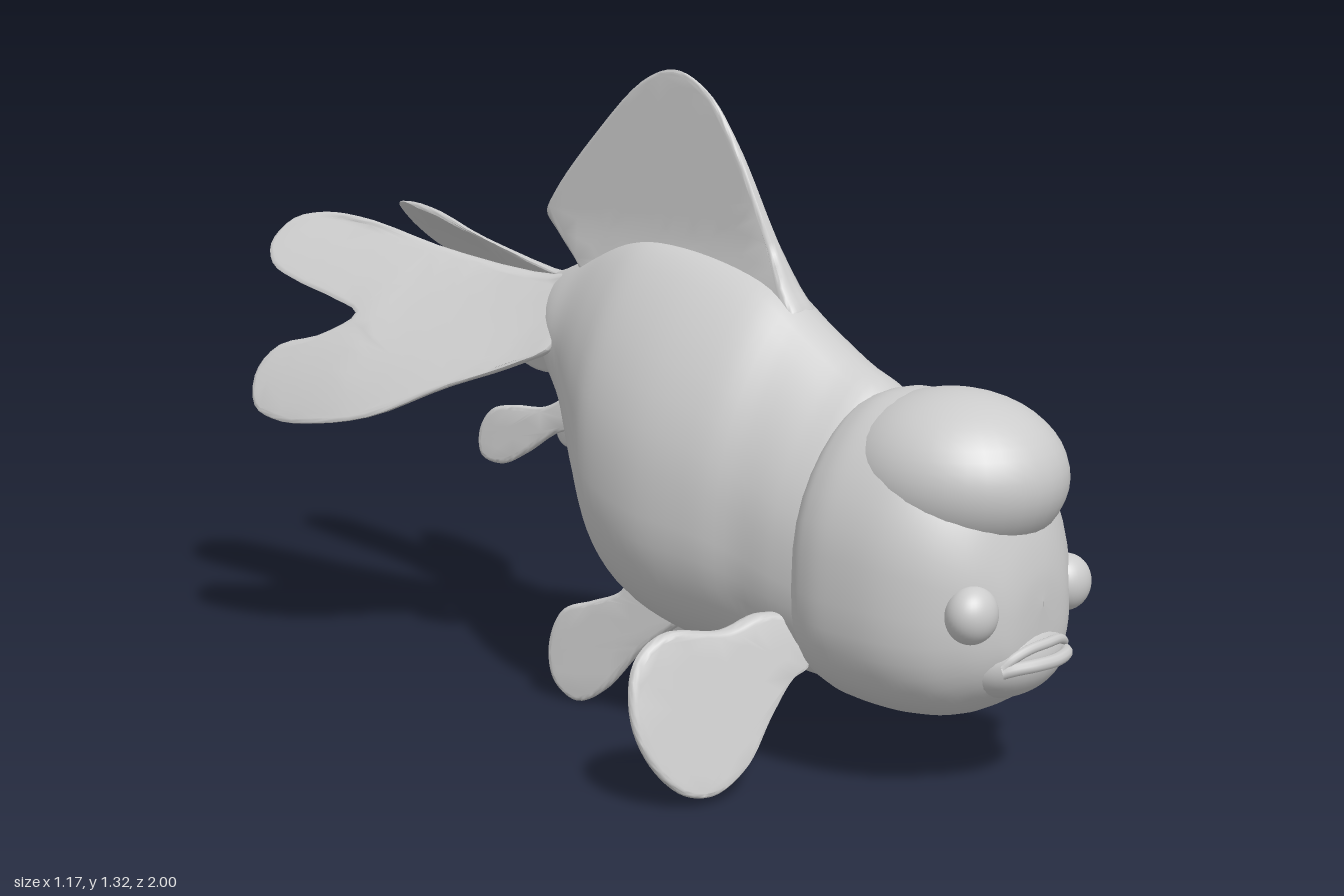
import * as THREE from 'three';
import { toCreasedNormals } from 'three/addons/utils/BufferGeometryUtils.js';

const material = new THREE.MeshStandardMaterial({ color: 0xcccccc, side: THREE.DoubleSide });

function mesh(name, geometry) {
  const m = new THREE.Mesh(geometry, material);
  m.name = name;
  return m;
}

// Signed power, for rounded-box cross-sections
const spow = (v, p) => Math.sign(v) * Math.abs(v) ** p;

// Skin through stations [z, top, bottom, halfWidth], running front to back
function loft(stations, { mid, power, pinch }, rings = 48, sides = 40) {
  const heights = new THREE.CatmullRomCurve3(
    stations.map(([z, t, b]) => new THREE.Vector3(z, t, b)), false, 'catmullrom');
  const widths = new THREE.CatmullRomCurve3(
    stations.map((s) => new THREE.Vector3(s[3], 0, 0)), false, 'catmullrom');
  const pos = [], index = [];
  for (let i = 0; i <= rings; i++) {
    const { x: z, y: top, z: bottom } = heights.getPoint(i / rings);
    const w = Math.max(widths.getPoint(i / rings).x, 0.001);
    const m = bottom + mid * (top - bottom);
    for (let j = 0; j < sides; j++) {
      const a = (j / sides) * Math.PI * 2, s = Math.sin(a);
      const x = w * spow(Math.cos(a), power) * (1 - pinch * Math.max(0, s) ** 2);
      const y = m + spow(s, power) * (s > 0 ? top - m : m - bottom);
      pos.push(x, y, z);
      if (i === rings) continue;
      const p = i * sides + j, q = i * sides + ((j + 1) % sides);
      index.push(p, p + sides, q, q, p + sides, q + sides);
    }
  }
  const g = new THREE.BufferGeometry();
  g.setAttribute('position', new THREE.Float32BufferAttribute(pos, 3));
  g.setIndex(index);
  g.computeVertexNormals();
  return g;
}

// Halve a triangle at its longest edge until small enough to bend smoothly
function split(a, b, c, out) {
  const ab = a.distanceTo(b), bc = b.distanceTo(c), ca = c.distanceTo(a);
  const longest = Math.max(ab, bc, ca);
  if (longest < 0.07) out.push(a, b, c);
  else if (longest === bc) split(b, c, a, out);
  else if (longest === ca) split(c, a, b, out);
  else {
    const m = a.clone().lerp(b, 0.5);
    split(a, m, c, out);
    split(m, b, c, out);
  }
}

// Thin rounded plate from an outline, each vertex placed by map(u, v, t)
function fin(outline, thickness, map) {
  const curve = new THREE.CatmullRomCurve3(
    outline.map(([u, v]) => new THREE.Vector3(u, v, 0)), true, 'centripetal');
  const shape = new THREE.Shape(curve.getPoints(72).slice(0, -1).map((p) => new THREE.Vector2(p.x, p.y)));
  const bevel = thickness * 0.4, depth = thickness - 2 * bevel;
  const p = new THREE.ExtrudeGeometry(shape, {
    depth, bevelThickness: bevel, bevelSize: 0.01, bevelOffset: -0.01, bevelSegments: 3, steps: 1,
  }).attributes.position;
  const corner = (i) => new THREE.Vector3().fromBufferAttribute(p, i);
  const points = [];
  for (let i = 0; i < p.count; i += 3) split(corner(i), corner(i + 1), corner(i + 2), points);
  const g = new THREE.BufferGeometry();
  g.setAttribute('position', new THREE.Float32BufferAttribute(
    points.flatMap(({ x, y, z }) => map(x, y, z - depth / 2)), 3));
  return toCreasedNormals(g, 0.7);
}

// Fin drawn in side view as [z, y]; xAt gives its sideways lean, swell its relative thickness
function sideFin(outline, thickness, xAt, swell = () => 1) {
  return fin(outline.map(([z, y]) => [-z, y]), thickness,
    (u, v, t) => [xAt(-u, v) + t * swell(-u, v), v, -u]);
}

function ellipsoid(center, radii) {
  return new THREE.SphereGeometry(1, 36, 24).scale(...radii).translate(...center);
}

// Lip tube, given as the left half from the middle to the corner
function lip(half, radius) {
  const points = [...half.slice(1).reverse().map(([x, y, z]) => [-x, y, z]), ...half];
  const curve = new THREE.CatmullRomCurve3(points.map((p) => new THREE.Vector3(...p)));
  return new THREE.TubeGeometry(curve, 28, radius, 10);
}

// Sideways sweep of a tail half: bowed outwards, lower edge furthest out
function tailX(z, y) {
  const drop = Math.max(0, 0.87 + 0.15 * (-0.32 - z) - y);
  const bow = Math.min(1, Math.max(0, (-0.3 - z) / 0.35));
  return 0.022 + 0.17 * (-0.32 - z) + 0.73 * drop + bow * drop * (0.42 - drop);
}

// Parts of the left side, mirrored for the right
function sideParts(name) {
  const g = new THREE.Group();
  g.name = name;

  g.add(mesh('eye', ellipsoid([0.154, 0.382, 0.902], [0.056, 0.056, 0.048])));
  const lid = new THREE.TorusGeometry(0.053, 0.009, 8, 28);
  lid.rotateY(0.7).translate(0.147, 0.382, 0.894);
  g.add(mesh('eyelid', lid));

  g.add(mesh('pectoralFin', fin([
    [0.2, 0.31], [0.27, 0.33], [0.36, 0.312], [0.48, 0.325], [0.555, 0.28], [0.585, 0.18], [0.563, 0.09],
    [0.51, 0.03], [0.45, 0.02], [0.37, 0.06], [0.3, 0.14], [0.24, 0.2], [0.2, 0.22],
  ], 0.026, (x, y, t) => [x, y, 0.55 - 0.28 * (x - 0.22) - 0.28 * (y - 0.17) + t * (2.1 - 2.4 * x)])));

  g.add(mesh('ventralFin', sideFin([
    [0.16, 0.22], [0.12, 0.188], [0.05, 0.13], [-0.03, 0.035], [-0.09, 0.003], [-0.14, 0.04], [-0.152, 0.12],
    [-0.12, 0.2], [-0.06, 0.225], [0, 0.25], [0.05, 0.3],
  ], 0.022, (z) => 0.1 + 0.33 * (0.13 - z), (z) => 1 + 4 * Math.max(0, z))));

  g.add(mesh('analFin', sideFin([
    [-0.16, 0.57], [-0.25, 0.54], [-0.32, 0.49], [-0.38, 0.46], [-0.425, 0.475], [-0.43, 0.53],
    [-0.4, 0.58], [-0.35, 0.592], [-0.28, 0.595], [-0.2, 0.63],
  ], 0.02, (z) => 0.045 + 0.3 * (-0.18 - z))));

  // Forked tail half, thicker at the root
  g.add(mesh('tailFin', sideFin([
    [-0.22, 0.88], [-0.32, 0.872], [-0.6, 0.91], [-0.8, 0.955], [-0.92, 0.962], [-0.985, 0.945],
    [-0.997, 0.9], [-0.96, 0.855], [-0.88, 0.825], [-0.76, 0.795], [-0.692, 0.77], [-0.75, 0.725],
    [-0.84, 0.695], [-0.868, 0.64], [-0.845, 0.57], [-0.78, 0.545], [-0.68, 0.548], [-0.55, 0.575],
    [-0.42, 0.64], [-0.3, 0.69], [-0.22, 0.74],
  ], 0.018, tailX, (z) => 1 + 4 * Math.max(0, z + 0.6))));
  return g;
}

export function createModel() {
  const model = new THREE.Group();
  model.name = 'goldfish';

  // Deep egg-shaped body tapering to the tail
  model.add(mesh('body', loft([
    [0.68, 0.6, 0.25, 0.18], [0.6, 0.735, 0.16, 0.238], [0.5, 0.79, 0.155, 0.248], [0.4, 0.855, 0.163, 0.248],
    [0.3, 0.92, 0.17, 0.267], [0.15, 0.96, 0.18, 0.28], [0, 0.975, 0.24, 0.25], [-0.1, 0.96, 0.37, 0.19],
    [-0.2, 0.92, 0.545, 0.122], [-0.27, 0.89, 0.645, 0.09], [-0.32, 0.865, 0.7, 0.05], [-0.345, 0.8, 0.78, 0.001],
  ], { mid: 0.38, power: 0.9, pinch: 0.4 })));

  // Broad head easing into the body behind the gills
  model.add(mesh('head', loft([
    [0.956, 0.385, 0.375, 0.001], [0.95, 0.45, 0.27, 0.08], [0.93, 0.53, 0.225, 0.128], [0.89, 0.625, 0.185, 0.182],
    [0.83, 0.695, 0.15, 0.23], [0.75, 0.74, 0.135, 0.262], [0.65, 0.752, 0.137, 0.272],
    [0.59, 0.742, 0.148, 0.266], [0.545, 0.71, 0.17, 0.245], [0.48, 0.6, 0.25, 0.18],
  ], { mid: 0.4, power: 0.8, pinch: 0.25 })));

  model.add(mesh('hood', ellipsoid([0, 0.602, 0.745], [0.208, 0.162, 0.225])));
  model.add(mesh('muzzle', ellipsoid([0, 0.275, 0.865], [0.15, 0.09, 0.105])));

  // Downturned mouth
  model.add(mesh('upperLip', lip([
    [0, 0.306, 0.966], [0.05, 0.302, 0.959], [0.085, 0.288, 0.947], [0.1, 0.272, 0.936],
  ], 0.01)));
  model.add(mesh('lowerLip', lip([
    [0, 0.276, 0.985], [0.05, 0.275, 0.975], [0.085, 0.27, 0.952], [0.1, 0.264, 0.936],
  ], 0.013)));

  // Tall sail fin, flared at the base and thin at the top
  model.add(mesh('dorsalFin', sideFin([
    [0.38, 0.85], [0.34, 0.92], [0.28, 1.03], [0.2, 1.18], [0.12, 1.285], [0.03, 1.327], [-0.06, 1.3],
    [-0.2, 1.175], [-0.31, 1.05], [-0.332, 1.005], [-0.29, 0.96], [-0.24, 0.915], [-0.18, 0.86], [0.1, 0.85],
  ], 0.034, () => 0, (z, y) => 1.2 - 2.3 * (y - 0.9) + 8 * Math.max(0, 0.99 - y))));

  const left = sideParts('leftSide');
  const right = sideParts('rightSide');
  right.scale.x = -1;
  model.add(left, right);
  return model;
}
